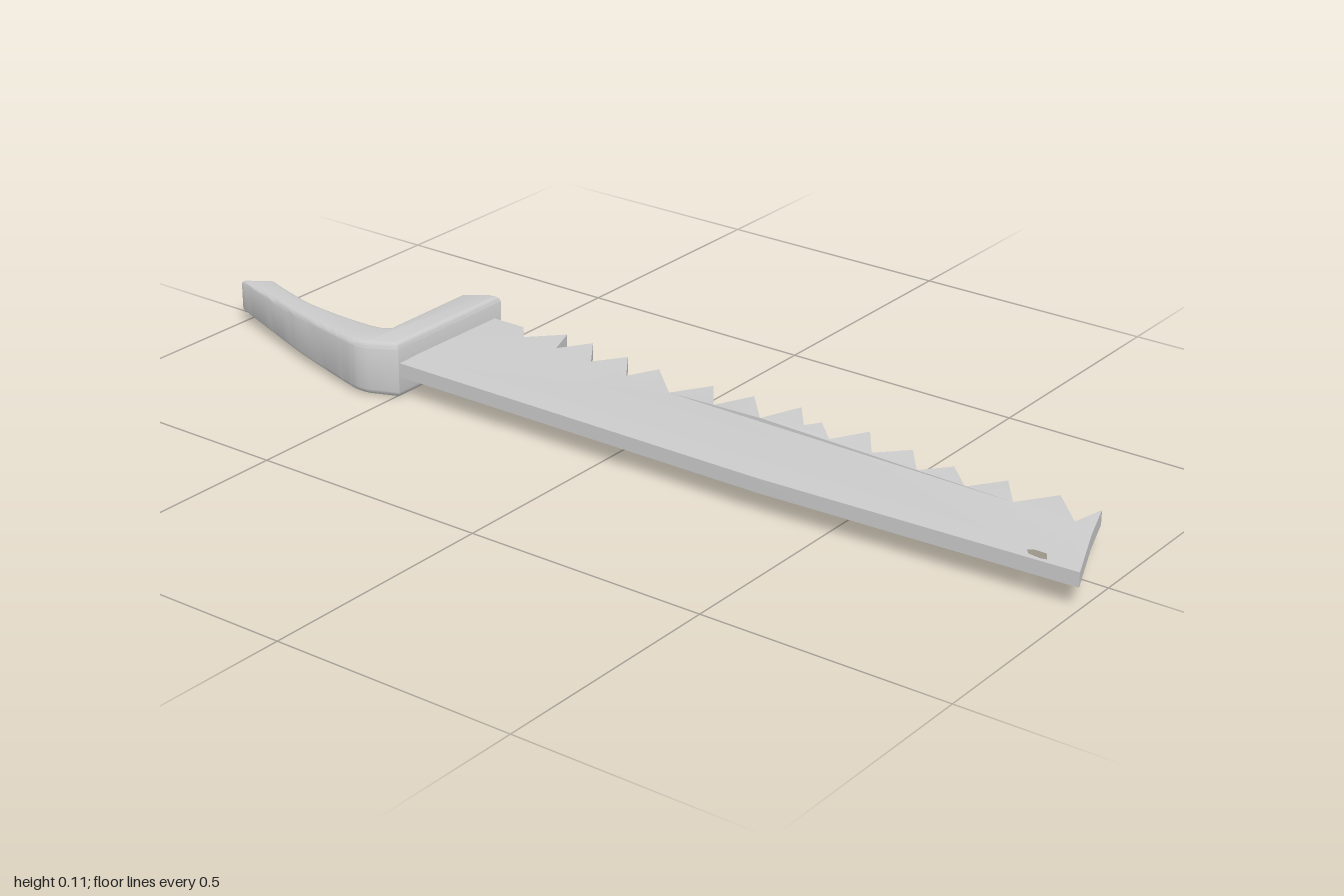
import * as THREE from 'three';
import { toCreasedNormals } from 'three/addons/utils/BufferGeometryUtils.js';

const material = new THREE.MeshStandardMaterial({ color: 0xcccccc });

// Outlines are [x, z] pairs in plan; the extrusion rises along y.
const toPoints = (pairs) => pairs.map(([x, z]) => new THREE.Vector2(x, -z));

// Move every vertex height by a rule y = f(x, y, z).
function reshape(geometry, rule) {
  const p = geometry.attributes.position;
  for (let i = 0; i < p.count; i++) p.setY(i, rule(p.getX(i), p.getY(i), p.getZ(i)));
  geometry.computeVertexNormals();
  return geometry;
}

function makeBlade() {
  // Toothed edge: alternating valleys and tips
  const teeth = [
    [-0.53, -0.155], [-0.41, -0.145], [-0.375, -0.105], [-0.315, -0.165], [-0.29, -0.1], [-0.25, -0.165],
    [-0.2, -0.095], [-0.16, -0.16], [-0.11, -0.09], [-0.08, -0.155], [0, -0.08], [0.05, -0.155],
    [0.105, -0.08], [0.145, -0.155], [0.215, -0.075], [0.25, -0.16], [0.3, -0.095], [0.32, -0.125],
    [0.37, -0.075], [0.41, -0.15], [0.46, -0.08], [0.51, -0.14], [0.56, -0.075], [0.605, -0.13],
    [0.665, -0.07], [0.715, -0.135], [0.77, -0.06], [0.825, -0.13], [0.9, -0.05], [0.915, -0.118],
  ];
  const spine = [[0.945, -0.03], [1, 0.105], [0.68, 0.12], [0.36, 0.135], [-0.53, 0.135]];
  const shape = new THREE.Shape(toPoints([...teeth, ...spine]));
  // Hanging slot near the tip
  shape.holes.push(new THREE.Path(toPoints([
    [0.885, 0.085], [0.895, 0.078], [0.92, 0.078], [0.932, 0.097], [0.92, 0.1], [0.895, 0.097],
  ])));
  const geometry = new THREE.ExtrudeGeometry(shape, { depth: 0.029, bevelEnabled: false });
  geometry.rotateX(-Math.PI / 2).translate(0, 0.045, 0);
  // Slight sideways set along the teeth
  reshape(geometry, (x, y, z) =>
    z < -0.04 ? y - 0.001 + 0.005 * Math.cos((x - 0.3) * Math.PI * 2 / 0.63) : y);
  return toCreasedNormals(geometry, 0.4);
}

function makeHandle() {
  // Cross guard and curved grip in one outline
  const shape = new THREE.Shape();
  shape.moveTo(-0.49, 0.172);
  shape.lineTo(-0.49, -0.138);
  shape.lineTo(-0.545, -0.165);
  shape.quadraticCurveTo(-0.565, -0.172, -0.59, -0.168);
  shape.splineThru(toPoints([[-0.65, 0.153], [-0.77, 0.12], [-0.88, 0.083], [-1, 0.042]]));
  shape.lineTo(-0.997, -0.035);
  shape.lineTo(-0.945, -0.005);
  shape.splineThru(toPoints([[-0.87, 0.033], [-0.79, 0.058], [-0.7, 0.074], [-0.61, 0.083], [-0.575, 0.081]]));
  shape.lineTo(-0.565, -0.075);
  shape.lineTo(-0.565, 0.142);
  shape.lineTo(-0.52, 0.17);
  const geometry = new THREE.ExtrudeGeometry(shape, {
    depth: 0.086, curveSegments: 5,
    bevelThickness: 0.012, bevelSize: 0.013, bevelOffset: -0.013, bevelSegments: 3,
  });
  geometry.rotateX(-Math.PI / 2).translate(0, -0.043, 0);
  // Grip thins toward its end
  reshape(geometry, (x, y) => 0.058 + y * THREE.MathUtils.mapLinear(x, -1, -0.55, 0.64, 1));
  return toCreasedNormals(geometry, 0.6);
}

export function createModel() {
  const group = new THREE.Group();
  group.name = 'handSaw';
  for (const [name, geometry] of [['blade', makeBlade()], ['handle', makeHandle()]]) {
    const mesh = new THREE.Mesh(geometry, material);
    mesh.name = name;
    group.add(mesh);
  }
  return group;
}
